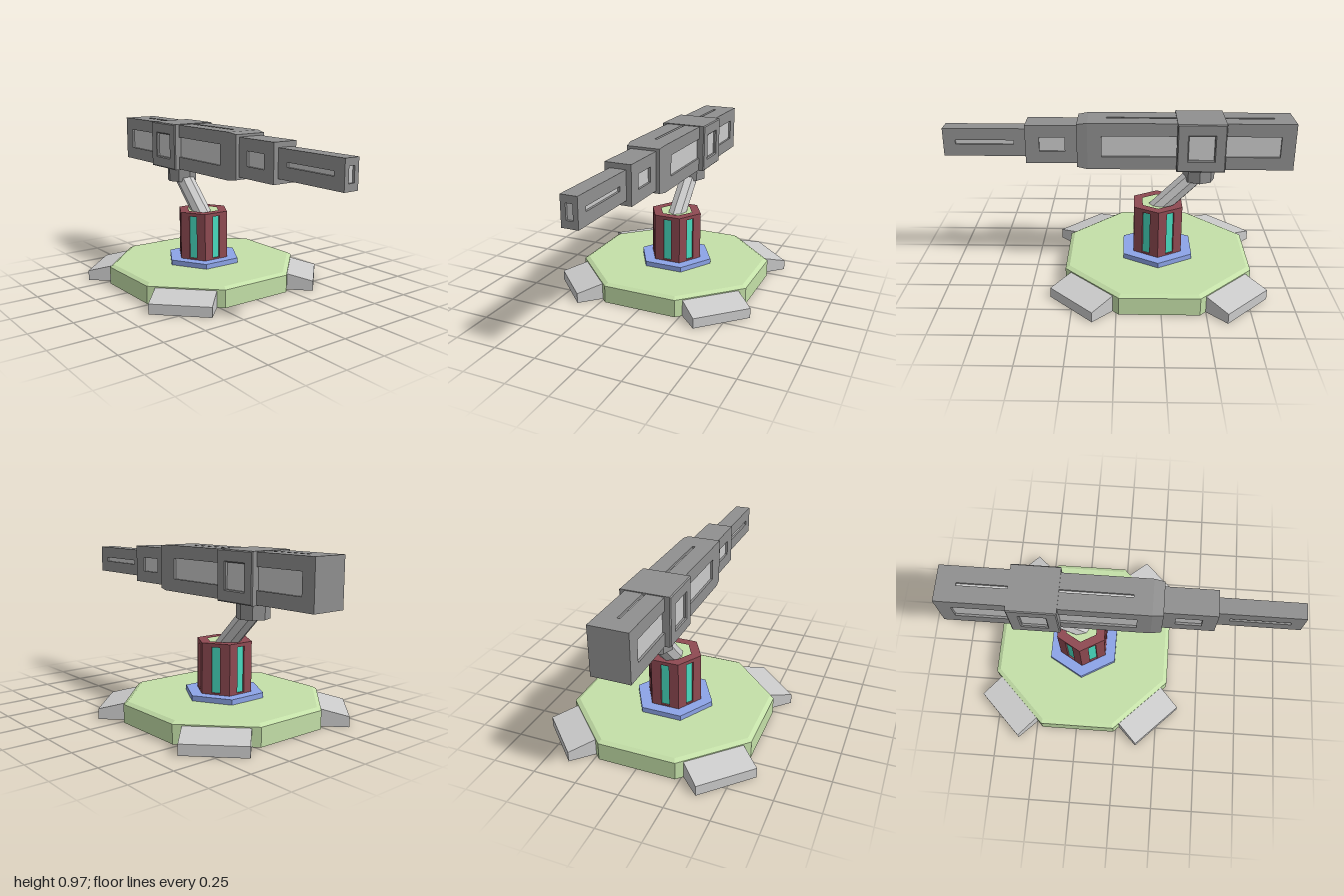
import * as THREE from 'three';

const mat = (color) => new THREE.MeshStandardMaterial({ color, flatShading: true });
const grey = mat(0xcccccc), dark = mat(0x909090), green = mat(0xc4e0a8);
const blue = mat(0x8ca4e8), red = mat(0x8f4a52), teal = mat(0x48dcc0);
const CX = -0.24; // axis of the base and tower
const AY = 0.8275; // height of the barrel axis

function add(parent, name, geo, material, x = 0, y = 0, z = 0) {
  const m = new THREE.Mesh(geo, material);
  m.name = name;
  m.position.set(x, y, z);
  parent.add(m);
  return m;
}

function rect(Type, cx, w, h) {
  const p = new Type();
  p.moveTo(cx - w / 2, -h / 2);
  p.lineTo(cx + w / 2, -h / 2);
  p.lineTo(cx + w / 2, h / 2);
  p.lineTo(cx - w / 2, h / 2);
  p.closePath();
  return p;
}

// Plate facing +z, its outer face at z = 0, with a window backed by an inlay
function panel(name, w, h, hole, d, inlayMat, frameMat, bevel = 0) {
  const g = new THREE.Group();
  g.name = name;
  const s = rect(THREE.Shape, 0, w - 2 * bevel, h - 2 * bevel);
  s.holes.push(rect(THREE.Path, hole.x, hole.w + 2 * bevel, hole.h + 2 * bevel));
  const geo = new THREE.ExtrudeGeometry(s, {
    depth: d - bevel, bevelEnabled: bevel > 0, bevelSize: bevel, bevelThickness: bevel, bevelSegments: 1,
  });
  add(g, name + 'Frame', geo, frameMat, 0, 0, -d);
  add(g, name + 'Inlay', new THREE.BoxGeometry(hole.w, hole.h, 0.004), inlayMat, hole.x, 0, -d);
  return g;
}

// Barrel section from x0 to x1 with windows on both sides and an optional slot on top
function section(parent, name, x0, x1, hy, hz, win, slot, d = 0.015, bevel = 0) {
  const g = new THREE.Group();
  g.name = name;
  g.position.set((x0 + x1) / 2, AY, 0);
  const w = x1 - x0, drop = slot ? d : 0, b = bevel;
  const local = (o) => ({ x: (o.x0 + o.x1) / 2 - g.position.x, w: o.x1 - o.x0, h: o.h });
  add(g, name + 'Core', new THREE.BoxGeometry(w, 2 * hy - drop, 2 * (hz - d)), dark, 0, -drop / 2, 0);
  for (const s of [1, -1]) {
    const hole = local(win);
    hole.x *= s;
    const p = panel(name + 'Side', w, 2 * hy, hole, d, grey, dark, b);
    p.position.z = s * hz;
    p.rotation.y = s > 0 ? 0 : Math.PI;
    g.add(p);
  }
  if (slot) {
    const p = panel(name + 'Top', w, 2 * (hz - d), local(slot), d, grey, dark);
    p.rotation.x = -Math.PI / 2;
    p.position.y = hy;
    g.add(p);
  }
  parent.add(g);
}

export function createModel() {
  const model = new THREE.Group();
  model.name = 'turret';

  // Octagonal base with a bevelled rim
  const base = new THREE.Group();
  base.name = 'base';
  base.position.x = CX;
  model.add(base);
  add(base, 'baseSlab', new THREE.CylinderGeometry(0.588, 0.588, 0.106, 8), green, 0, 0.053).rotation.y = Math.PI / 8;
  add(base, 'baseRim', new THREE.CylinderGeometry(0.562, 0.588, 0.014, 8), green, 0, 0.113).rotation.y = Math.PI / 8;

  // Four sloped feet on the diagonals
  const wedge = new THREE.Shape([[0.54, 0], [0.7, 0], [0.7, 0.06], [0.54, 0.1]].map((p) => new THREE.Vector2(...p)));
  const footGeo = new THREE.ExtrudeGeometry(wedge, { depth: 0.354, bevelEnabled: false }).translate(0, 0, -0.177);
  for (let i = 0; i < 4; i++) add(base, 'foot', footGeo, grey).rotation.y = Math.PI / 4 + (i * Math.PI) / 2;

  // Hexagonal collar and tower
  add(base, 'towerCollar', new THREE.CylinderGeometry(0.235, 0.235, 0.03, 6), blue, 0, 0.135);
  const R = 0.164, apothem = R * Math.cos(Math.PI / 6), d = 0.012;
  const coreR = (apothem - d) / Math.cos(Math.PI / 6);
  add(base, 'towerCore', new THREE.CylinderGeometry(coreR, coreR, 0.28, 6), green, 0, 0.29);
  for (let i = 0; i < 6; i++) {
    const a = Math.PI / 6 + (i * Math.PI) / 3;
    const p = panel('towerWall', R, 0.28, { x: 0, w: 0.05, h: 0.262 }, d, teal, red);
    p.position.set(Math.sin(a) * apothem, 0.29, Math.cos(a) * apothem);
    p.rotation.y = a;
    base.add(p);
  }
  const hex = (r) => Array.from({ length: 6 }, (_, i) =>
    new THREE.Vector2(r * Math.sin((i * Math.PI) / 3), r * Math.cos((i * Math.PI) / 3)));
  const ring = new THREE.Shape(hex(R));
  ring.holes.push(new THREE.Path(hex(0.104)));
  const ringGeo = new THREE.ExtrudeGeometry(ring, { depth: 0.012, bevelEnabled: false });
  add(base, 'towerRim', ringGeo, red, 0, 0.43).rotation.x = -Math.PI / 2;

  // Slanted arm and the octagonal mount under the barrel
  add(model, 'arm', new THREE.CylinderGeometry(0.057, 0.057, 0.4, 8), grey, -0.341, 0.5035).rotation.z = Math.PI / 4;
  add(model, 'mount', new THREE.CylinderGeometry(0.093, 0.093, 0.1, 8), dark, -0.475, 0.645);

  // Barrel body with long side windows and a thin top slot
  const barrel = new THREE.Group();
  barrel.name = 'barrel';
  model.add(barrel);
  section(barrel, 'body', -1, 0.17, 0.1365, 0.107, { x0: -0.92, x1: 0.09, h: 0.122 }, { x0: -0.89, x1: 0.065, h: 0.016 });

  // Tapered nose of the body
  const nose = new THREE.BoxGeometry(0.06, 0.273, 0.214);
  const pos = nose.attributes.position;
  for (let i = 0; i < pos.count; i++) {
    if (pos.getX(i) > 0) pos.setXYZ(i, pos.getX(i), pos.getY(i) * 0.93, pos.getZ(i) * 0.93);
  }
  add(barrel, 'nose', nose, dark, 0.2, AY, 0);

  // Collar around the body, then the two stepped front sections
  section(barrel, 'collar', -0.61, -0.335, 0.141, 0.14, { x0: -0.545, x1: -0.4, h: 0.145 }, null, 0.02, 0.006);
  section(barrel, 'middle', 0.23, 0.525, 0.1125, 0.077, { x0: 0.3, x1: 0.445, h: 0.085 });
  section(barrel, 'muzzle', 0.525, 0.985, 0.0825, 0.047, { x0: 0.595, x1: 0.93, h: 0.026 });

  // Muzzle end with its upright window
  const end = panel('muzzleEnd', 0.094, 0.165, { x: 0, w: 0.038, h: 0.085 }, 0.015, grey, dark);
  end.position.set(1, AY, 0);
  end.rotation.y = Math.PI / 2;
  barrel.add(end);

  return model;
}
